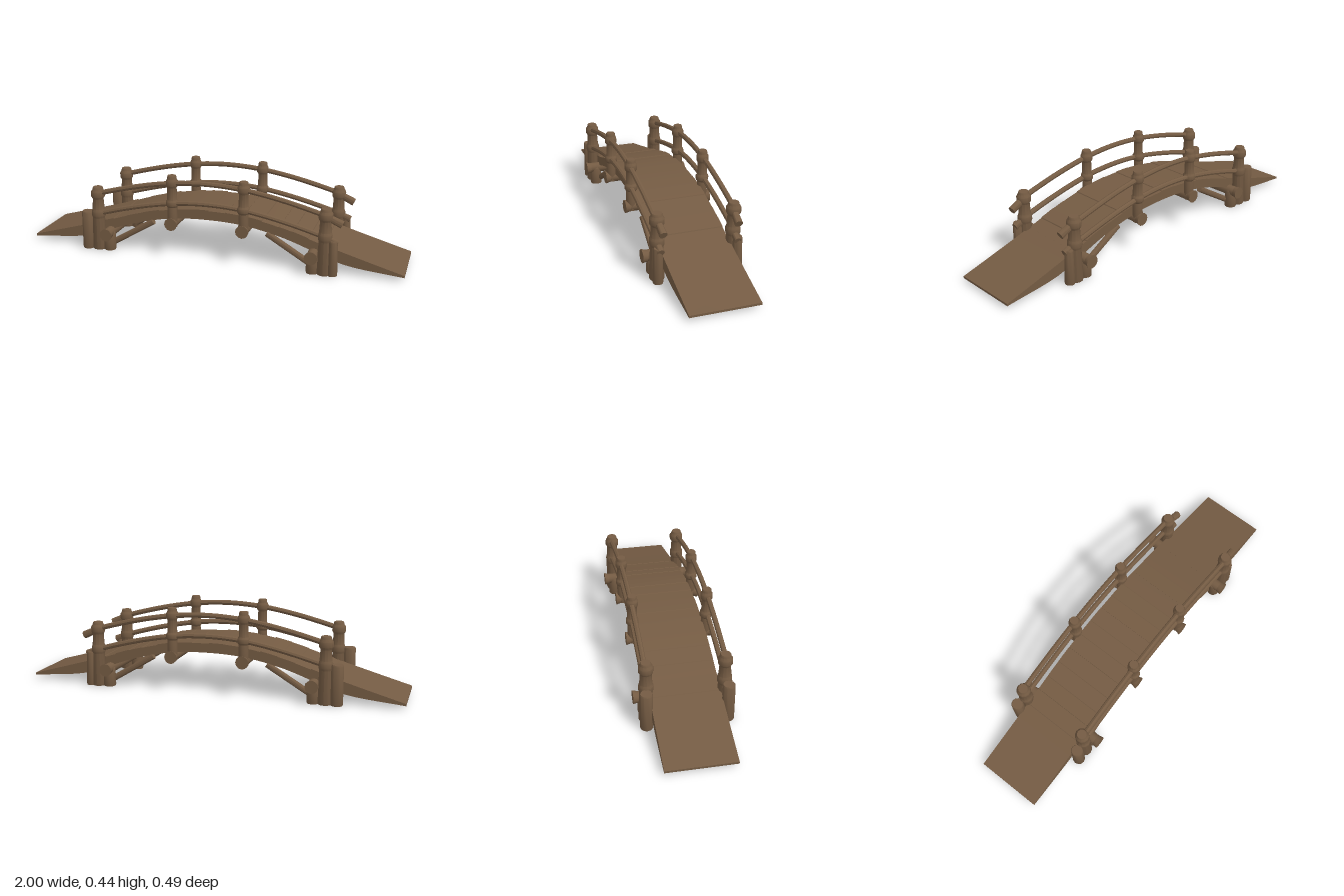
import * as THREE from 'three';
import { toCreasedNormals } from 'three/addons/utils/BufferGeometryUtils.js';

const wood = new THREE.MeshStandardMaterial({ color: 0x745b43 });
const UP = new THREE.Vector3(0, 1, 0);

function createPart(parent, name, geometry) {
  const mesh = new THREE.Mesh(toCreasedNormals(geometry, 0.6), wood);
  mesh.name = name;
  parent.add(mesh);
  return mesh;
}

// Straight log between two points
function addLog(parent, name, a, b, r0, r1 = r0) {
  const from = new THREE.Vector3(...a), to = new THREE.Vector3(...b);
  const dir = to.clone().sub(from);
  const mesh = createPart(parent, name, new THREE.CylinderGeometry(r1, r0, dir.length(), 12));
  mesh.position.copy(from).add(to).multiplyScalar(0.5);
  mesh.quaternion.setFromUnitVectors(UP, dir.normalize());
  return mesh;
}

// Upright post, tapering upward, with lashing bulges at the given heights
function addPost(parent, name, x, z, y0, y1, r0, r1, bulges = []) {
  const points = [[0, y0], [r0 * 0.93, y0], [r0, y0 + 0.008]];
  for (const [y, extra, half] of bulges) {
    const r = r0 + (r1 - r0) * (y - y0) / (y1 - y0);
    points.push([r, y - half], [r + extra, y - half * 0.5], [r + extra, y + half * 0.5], [r, y + half]);
  }
  points.push([r1, y1 - 0.006], [r1 * 0.9, y1], [0, y1]);
  const mesh = createPart(parent, name, new THREE.LatheGeometry(points.map(p => new THREE.Vector2(...p)), 12));
  mesh.position.set(x, 0, z);
  return mesh;
}

// Height of a symmetric curve, smoothly interpolated through [x, y] pairs
function makeHeight(pairs) {
  const mirrored = [...pairs.slice(1).reverse().map(([x, y]) => [-x, y]), ...pairs];
  const samples = new THREE.CatmullRomCurve3(mirrored.map(([x, y]) => new THREE.Vector3(x, y, 0))).getPoints(400);
  return x => {
    let i = 1;
    while (i < samples.length - 1 && samples[i].x < x) i++;
    const a = samples[i - 1], b = samples[i];
    return a.y + (b.y - a.y) * (x - a.x) / (b.x - a.x);
  };
}

const deckTop = makeHeight([[0, 0.262], [0.2, 0.25], [0.4, 0.207], [0.56, 0.157], [0.7, 0.114], [1, 0.029]]);
const deckBottom = makeHeight([[0, 0.212], [0.2, 0.2], [0.4, 0.156], [0.56, 0.1], [0.7, 0.052], [1, 0.018]]);

// Arched deck: plank steps on top, smooth underside
function addDeck(parent) {
  const seams = [-1, -0.7, -0.62, -0.53, -0.45, -0.36, -0.27, -0.18, -0.09, 0, 0.09, 0.18, 0.28, 0.37, 0.44,
    0.52, 0.6, 0.69, 1];
  const shape = new THREE.Shape();
  shape.moveTo(-1, deckBottom(-1));
  for (let i = 0; i < seams.length - 1; i++) {
    const a = seams[i], b = seams[i + 1];
    const lift = i === 0 || i === seams.length - 2 ? 0 : (i % 3 - 1) * 0.002;
    shape.lineTo(a, deckTop(a) + lift);
    shape.lineTo((a + b) / 2, deckTop((a + b) / 2) + lift);
    shape.lineTo(b - 0.002, deckTop(b - 0.002) + lift);
  }
  shape.lineTo(1, deckTop(1));
  for (let i = 40; i > 0; i--) shape.lineTo(i / 20 - 1, deckBottom(i / 20 - 1));
  const deck = createPart(parent, 'deck', new THREE.ExtrudeGeometry(shape, { depth: 0.345, bevelEnabled: false }));
  deck.position.z = -0.174;
}

// Curved handrail through mirrored height points
function addRail(parent, name, height, z, radius) {
  const points = [];
  for (let i = -6; i <= 6; i++) points.push(new THREE.Vector3(i * 0.1, height(i * 0.1), z));
  createPart(parent, name, new THREE.TubeGeometry(new THREE.CatmullRomCurve3(points), 48, radius, 8));
}

const topRail = makeHeight([[0, 0.41], [0.19, 0.398], [0.4, 0.36], [0.6, 0.308], [0.7, 0.28]]);
const midRail = makeHeight([[0, 0.303], [0.19, 0.291], [0.4, 0.251], [0.6, 0.197], [0.7, 0.165]]);

export function createModel() {
  const bridge = new THREE.Group();
  bridge.name = 'woodenBridge';
  addDeck(bridge);

  for (const s of [1, -1]) {
    const side = new THREE.Group();
    side.name = s > 0 ? 'frontRailing' : 'backRailing';
    bridge.add(side);
    const z = 0.19 * s;

    // Rails, with ends running past the posts on one side
    addRail(side, 'topRail', topRail, 0.194 * s, 0.0135);
    addRail(side, 'middleRail', midRail, 0.194 * s, 0.0135);
    addLog(side, 'topRailEnd', [0.59, 0.31, z], [0.688, 0.265, 0.184 * s], 0.017, 0.02);
    addLog(side, 'middleRailEnd', [0.59, 0.2, z], [0.672, 0.167, z], 0.016, 0.018);

    for (const m of [1, -1]) {
      // Middle and end posts
      addPost(side, 'middlePost', 0.19 * m, z, 0.165, 0.44, 0.027, 0.024,
        [[0.292, 0.007, 0.02], [0.4, 0.007, 0.023]]);
      addPost(side, 'endPost', 0.607 * m, z, 0, 0.342, 0.038, 0.027,
        [[0.197, 0.005, 0.024], [0.303, 0.008, 0.026]]);
      addPost(side, 'footStub', 0.548 * m, z, 0, 0.1, 0.033, 0.031);
      // Slanted brace under the deck
      addLog(side, 'brace', [0.545 * m, 0.028, 0.165 * s], [0.305 * m, 0.172, 0.165 * s], 0.016);
    }

    // Short outer posts
    addPost(side, 'shortPost', -0.667, 0.198 * s, 0, 0.206, 0.032, 0.031);
    addPost(side, 'shortPost', 0.65, 0.198 * s, 0, 0.182, 0.026, 0.022);
  }

  // Cross beams with flared ends
  for (const [x, y, half, r] of [[0.19, 0.185, 0.225, 0.028], [0.548, 0.094, 0.246, 0.028]]) {
    for (const m of [1, -1]) {
      addLog(bridge, 'crossBeam', [x * m, y, -half + 0.01], [x * m, y, half - 0.01], r);
      for (const s of [1, -1]) {
        addLog(bridge, 'crossBeamEnd', [x * m, y, s * (half - 0.025)], [x * m, y, s * half], r, r + 0.006);
      }
    }
  }
  return bridge;
}
